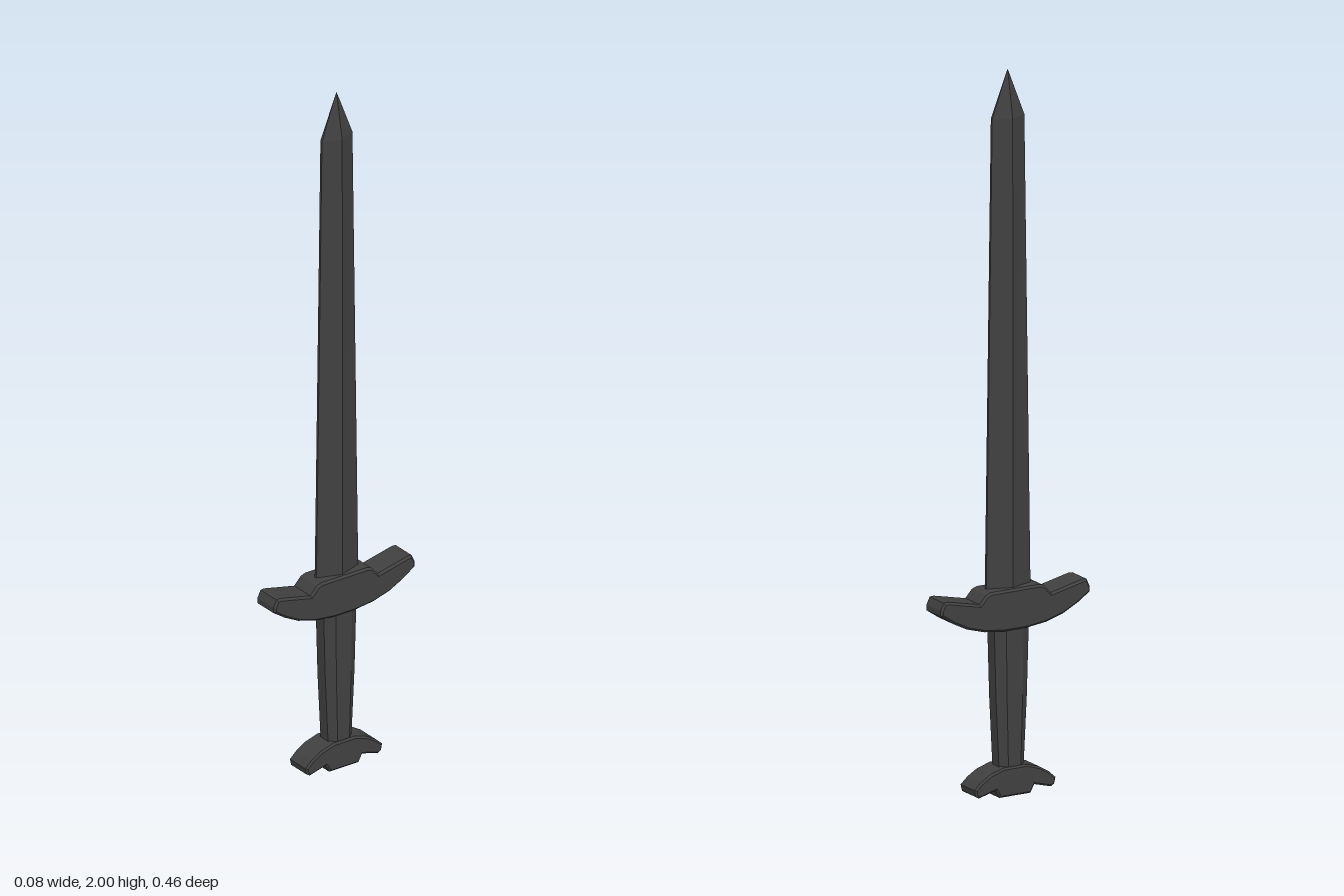
import * as THREE from 'three';

const material = new THREE.MeshStandardMaterial({ color: 0x404040, flatShading: true });

// Skin an outline of [x, z] factors through sections of [y, halfWidth, halfDepth]
function loft(name, outline, sections) {
  const n = outline.length;
  const rings = sections.map(([y, hx, hz]) => outline.map(([x, z]) => [x * hx, y, z * hz]));
  const pos = [];
  const tri = (a, b, c) => pos.push(...a, ...b, ...c);
  for (let r = 0; r < rings.length - 1; r++) {
    for (let i = 0; i < n; i++) {
      const j = (i + 1) % n;
      tri(rings[r][i], rings[r][j], rings[r + 1][j]);
      tri(rings[r][i], rings[r + 1][j], rings[r + 1][i]);
    }
  }
  const bottom = rings[0], top = rings[rings.length - 1];
  for (let i = 1; i < n - 1; i++) {
    tri(bottom[0], bottom[i + 1], bottom[i]);
    tri(top[0], top[i], top[i + 1]);
  }
  const geometry = new THREE.BufferGeometry();
  geometry.setAttribute('position', new THREE.Float32BufferAttribute(pos, 3));
  geometry.computeVertexNormals();
  const mesh = new THREE.Mesh(geometry, material);
  mesh.name = name;
  return mesh;
}

// Bevelled plate from half a [z, y] profile, mirrored across the middle
function plate(name, half, width, bevel) {
  const mirrored = half.map(([z, y]) => [-z, y]).reverse();
  const shape = new THREE.Shape([...half, ...mirrored].map(([z, y]) => new THREE.Vector2(z, y)));
  const depth = width - 2 * bevel;
  const geometry = new THREE.ExtrudeGeometry(shape, {
    depth, bevelEnabled: true, bevelThickness: bevel, bevelSize: bevel, bevelOffset: -bevel, bevelSegments: 1,
  });
  geometry.translate(0, 0, -depth / 2).rotateY(-Math.PI / 2);
  const mesh = new THREE.Mesh(geometry, material);
  mesh.name = name;
  return mesh;
}

export function createModel() {
  const sword = new THREE.Group();
  sword.name = 'sword';

  // Diamond blade with slightly blunted edges, tapering to a point
  const diamond = [[-0.14, 1], [0.14, 1], [1, 0], [0.14, -1], [-0.14, -1], [-1, 0]];
  const blade = loft('blade', diamond, [
    [0.54, 0.028, 0.069], [1.87, 0.026, 0.05], [2, 0.001, 0.001],
  ]);
  blade.position.x = 0.002;
  sword.add(blade);

  // Upswept crossguard
  sword.add(plate('crossguard', [
    [0.035, 0.459], [0.095, 0.466], [0.15, 0.482], [0.195, 0.505], [0.232, 0.53],
    [0.232, 0.545], [0.222, 0.566], [0.21, 0.567], [0.111, 0.545], [0.09, 0.568], [0.075, 0.573],
  ], 0.084, 0.006));

  // Eight-sided grip, wider toward the guard
  const octagon = [[-0.5, 1], [0.5, 1], [1, 0.5], [1, -0.5], [0.5, -1], [-0.5, -1], [-1, -0.5], [-1, 0.5]];
  sword.add(loft('grip', octagon, [
    [0.05, 0.034, 0.037], [0.27, 0.035, 0.048], [0.48, 0.036, 0.054],
  ]));

  // Pommel with drooping side wings
  sword.add(plate('pommel', [
    [0.048, 0], [0.06, 0.022], [0.112, 0.008], [0.122, 0.014], [0.126, 0.032],
    [0.105, 0.051], [0.075, 0.069], [0.035, 0.081],
  ], 0.08, 0.005));

  return sword;
}
